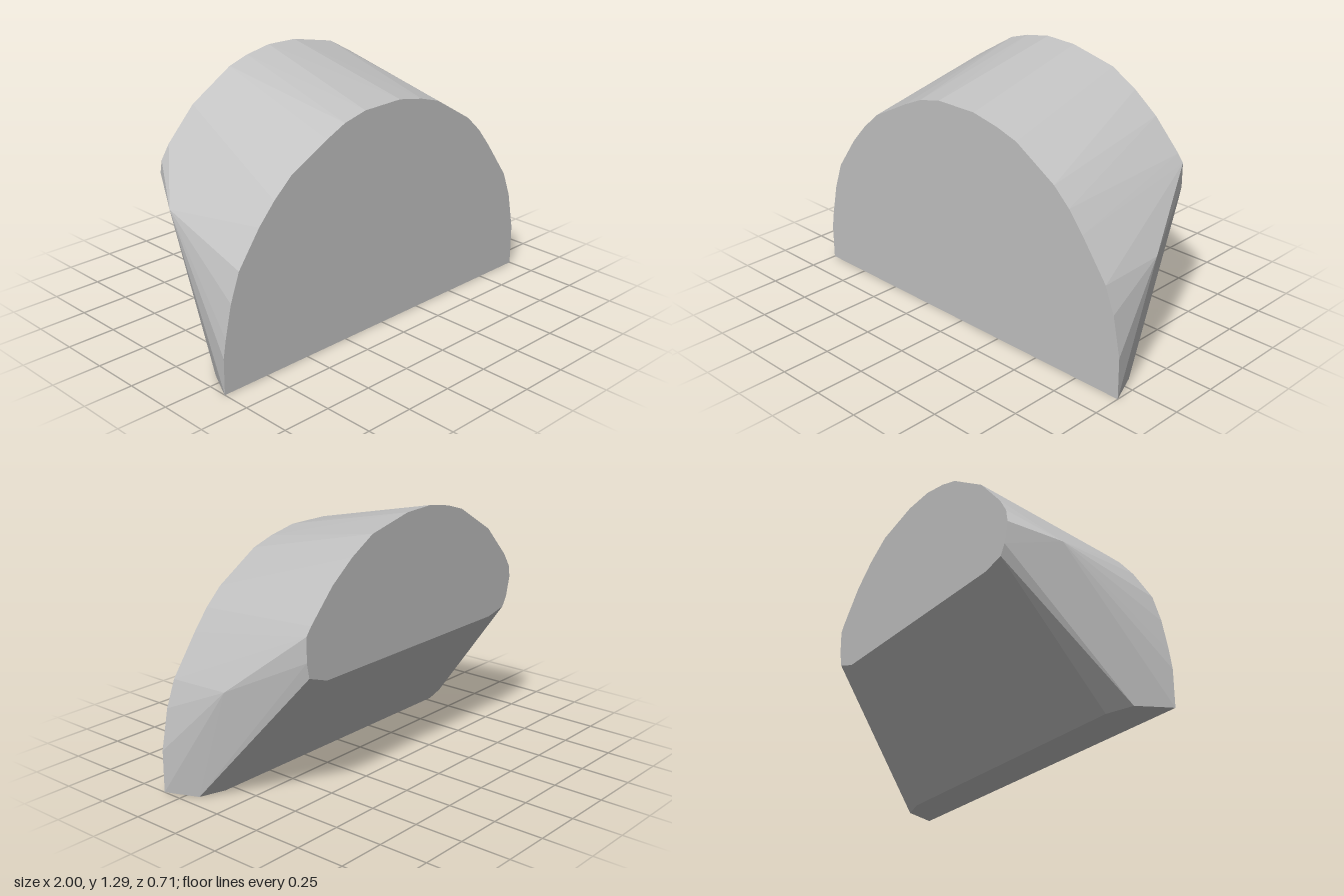
import * as THREE from 'three';
import { ConvexGeometry } from 'three/addons/geometries/ConvexGeometry.js';

const DEPTH = 0.353; // half depth

// Lifts a 2D outline to a plane of constant z
const atZ = (outline, z) => outline.map(([x, y]) => new THREE.Vector3(x, y, z));

export function createModel() {
  const grey = new THREE.MeshStandardMaterial({ color: 0xc0c0c0 });
  grey.name = 'grey';

  // Large domed front face, flat at the bottom
  const front = [
    [-1, 0], [-1, 0.18], [-0.985, 0.27], [-0.95, 0.43], [-0.9, 0.57], [-0.78, 0.74], [-0.69, 0.84],
    [-0.59, 0.93], [-0.37, 1.045], [-0.26, 1.095], [-0.13, 1.125], [0.1, 1.127], [0.25, 1.097],
    [0.37, 1.06], [0.6, 0.92], [0.69, 0.835], [0.77, 0.735], [0.85, 0.62], [0.91, 0.54],
    [0.96, 0.41], [1, 0.21], [1, 0],
  ];

  // Smaller raised back face with clipped lower corners
  const back = [
    [-0.6, 0.625], [-0.72, 0.65], [-0.75, 0.7], [-0.775, 0.8], [-0.765, 0.86], [-0.72, 0.93],
    [-0.57, 1.09], [-0.34, 1.23], [-0.23, 1.265], [-0.09, 1.29], [0.08, 1.285], [0.33, 1.23],
    [0.47, 1.15], [0.6, 1.05], [0.74, 0.9], [0.77, 0.86], [0.77, 0.74], [0.755, 0.665], [0.64, 0.625],
  ];

  // Narrow foot on the ground: x, z
  const foot = [
    [0.98, 0.31], [0.93, 0.19], [0.8, 0.15], [-0.78, 0.15], [-0.92, 0.19], [-0.98, 0.31],
  ].map(([x, z]) => new THREE.Vector3(x, 0, z));

  // Bulging corners on the sides
  const sides = [new THREE.Vector3(0.92, 0.56, 0.01), new THREE.Vector3(-0.89, 0.71, -0.14)];

  const body = new THREE.Mesh(
    new ConvexGeometry([...atZ(front, DEPTH), ...atZ(back, -DEPTH), ...foot, ...sides]),
    grey,
  );
  body.name = 'wedgeBody';

  const model = new THREE.Group();
  model.name = 'domedWedge';
  model.add(body);
  return model;
}
